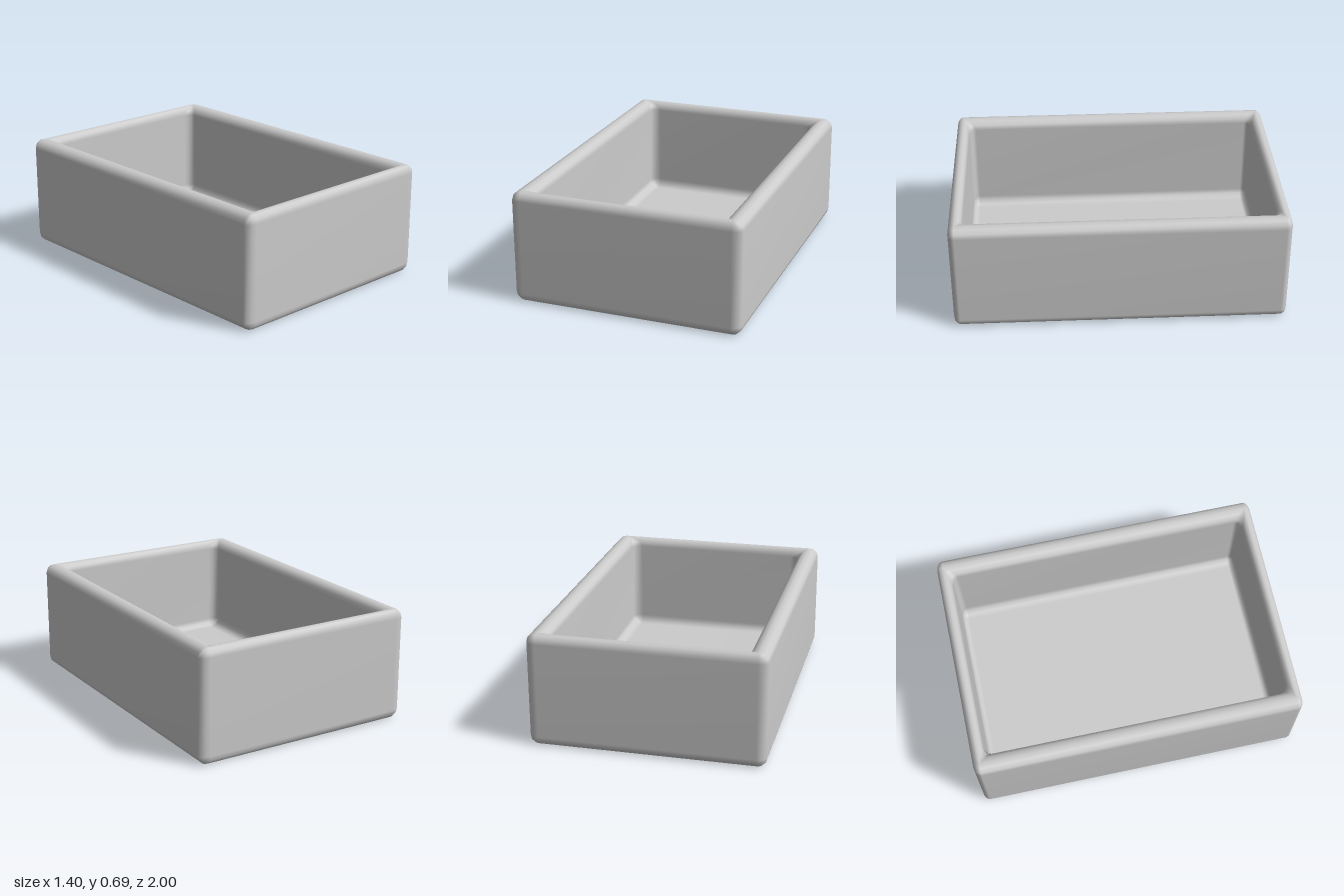
import * as THREE from 'three';
import { mergeVertices } from 'three/addons/utils/BufferGeometryUtils.js';

const HX = 0.7, HZ = 1, HEIGHT = 0.688;    // outer half sizes and height
const BX = 0.06, BY = 0.055, BZ = 0.04;    // rounding along each axis
const FLOOR = 0.07, STEPS = 3;

// One horizontal rounded rectangle; r (0..1) scales the corner rounding.
function ring(hx, hz, y, r) {
  const points = [];
  for (let corner = 0; corner < 4; corner++) {
    const sx = corner === 0 || corner === 3 ? 1 : -1;
    const sz = corner < 2 ? 1 : -1;
    for (let k = 0; k <= STEPS; k++) {
      const a = (corner + k / STEPS) * Math.PI / 2;
      points.push([
        sx * (hx - BX * r) + BX * r * Math.cos(a), y,
        sz * (hz - BZ * r) + BZ * r * Math.sin(a),
      ]);
    }
  }
  return points;
}

// Joins successive rings into one smooth skin.
function loft(rings) {
  const n = rings[0].length, index = [];
  for (let i = 0; i < rings.length - 1; i++) {
    for (let j = 0; j < n; j++) {
      const k = (j + 1) % n;
      const a = i * n + j, b = i * n + k, c = a + n, d = b + n;
      index.push(a, c, b, b, c, d);
    }
  }
  const geometry = new THREE.BufferGeometry();
  geometry.setAttribute('position', new THREE.Float32BufferAttribute(rings.flat(2), 3));
  geometry.setIndex(index);
  const merged = mergeVertices(geometry, 1e-4);
  // Drop the triangles that collapsed at the sharp corners
  const ids = merged.index.array, kept = [];
  for (let i = 0; i < ids.length; i += 3) {
    const [a, b, c] = ids.slice(i, i + 3);
    if (a !== b && b !== c && c !== a) kept.push(a, b, c);
  }
  merged.setIndex(kept);
  merged.computeVertexNormals();
  return merged;
}

export function createModel() {
  const group = new THREE.Group();
  group.name = 'openBox';

  // Quarter-round sweep: calls add(sin, cos) from 0 to 90 degrees
  const quarter = (add) => {
    for (let i = 0; i <= STEPS; i++) {
      const t = (i / STEPS) * Math.PI / 2;
      add(Math.sin(t), Math.cos(t));
    }
  };
  const cx = HX - BX, cz = HZ - BZ;          // middle of the rim
  const ix = HX - 2 * BX, iz = HZ - 2 * BZ;  // inner wall faces
  const rings = [ring(0, 0, 0, 0)];

  // Underside edge, then outer walls up to the rim
  quarter((s, c) => rings.push(ring(cx + BX * s, cz + BZ * s, BY * (1 - c), s)));
  quarter((s, c) => rings.push(ring(cx + BX * c, cz + BZ * c, HEIGHT - BY * (1 - s), c)));
  // Inner half of the rounded rim
  quarter((s, c) => rings.push(ring(cx - BX * s, cz - BZ * s, HEIGHT - BY * (1 - c), s)));
  // Inner walls down to the filleted floor
  quarter((s, c) => rings.push(ring(ix - BX * (1 - c), iz - BZ * (1 - c), FLOOR + BY * (1 - s), c)));
  rings.push(ring(0, 0, FLOOR, 0));

  const box = new THREE.Mesh(loft(rings), new THREE.MeshStandardMaterial({ color: 0xcccccc }));
  box.name = 'box';
  group.add(box);
  return group;
}
